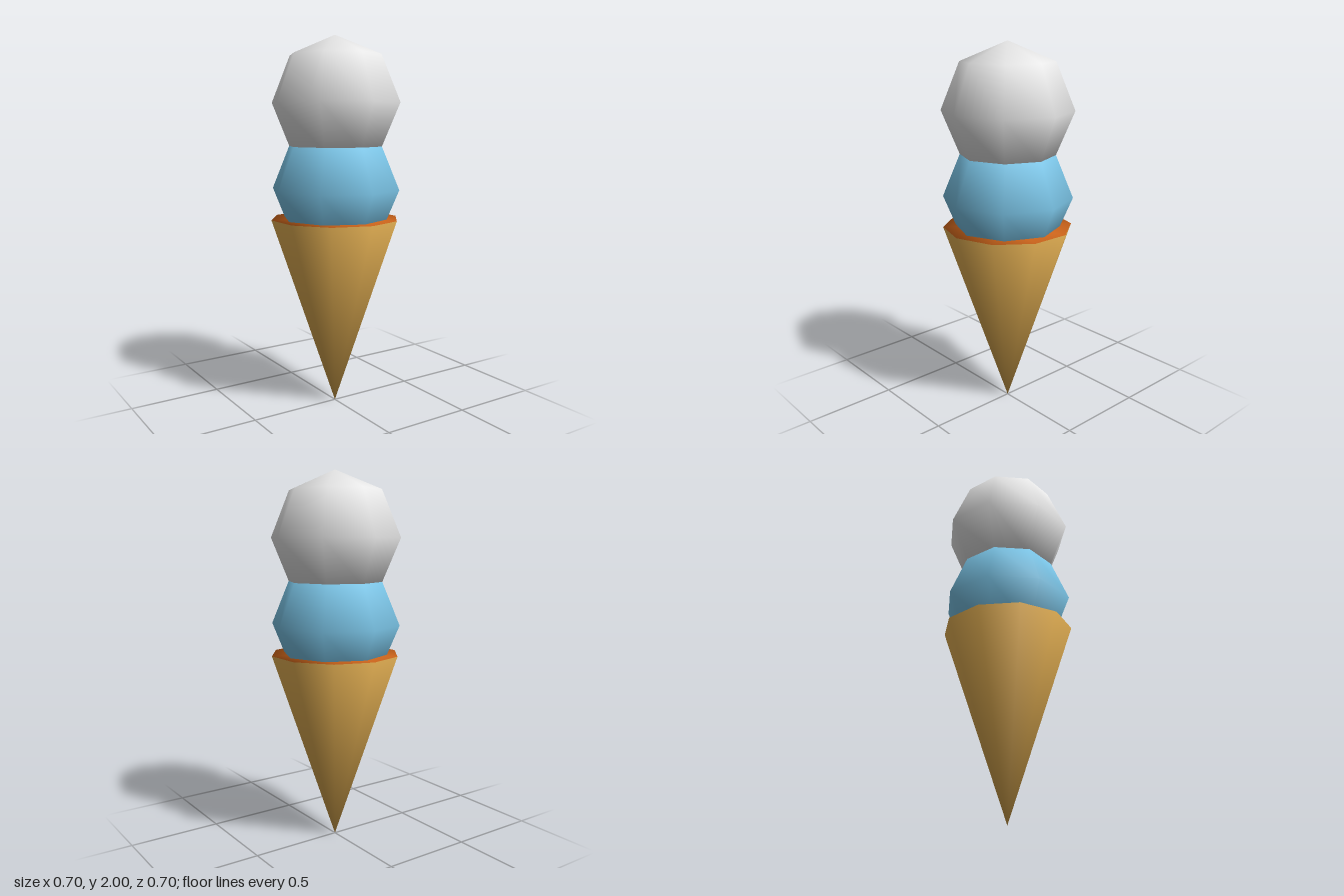
import * as THREE from 'three';
import { mergeVertices } from 'three/addons/utils/BufferGeometryUtils.js';

const RADIUS = 0.348;
const CONE_HEIGHT = 1.035;

function material(name, color) {
  const m = new THREE.MeshStandardMaterial({ color });
  m.name = name;
  return m;
}

// Low-poly ball with smooth shading
function scoop(name, y, mat) {
  const mesh = new THREE.Mesh(new THREE.SphereGeometry(RADIUS, 8, 4), mat);
  mesh.name = name;
  mesh.position.y = y;
  return mesh;
}

export function createModel() {
  const vanilla = material('vanilla white', 0xf6f6f6);
  const blueberry = material('sky blue', 0x82d0f4);
  const wafer = material('wafer tan', 0xf6be5a);
  const filling = material('wafer orange', 0xf67a22);

  const model = new THREE.Group();
  model.name = 'iceCreamCone';

  // Ten-sided cone, tip down; the flat top is its second material group.
  // Corners are welded so shading runs smoothly over the rim and the tip.
  const raw = new THREE.CylinderGeometry(RADIUS, 0, CONE_HEIGHT, 10, 1);
  raw.deleteAttribute('uv');
  raw.deleteAttribute('normal');
  const coneGeometry = mergeVertices(raw);
  coneGeometry.computeVertexNormals();
  const cone = new THREE.Mesh(coneGeometry, [wafer, filling]);
  cone.name = 'cone';
  cone.position.y = CONE_HEIGHT / 2;
  model.add(cone);

  // Two stacked scoops
  model.add(scoop('lowerScoop', 1.193, blueberry));
  model.add(scoop('upperScoop', 1.652, vanilla));

  return model;
}
